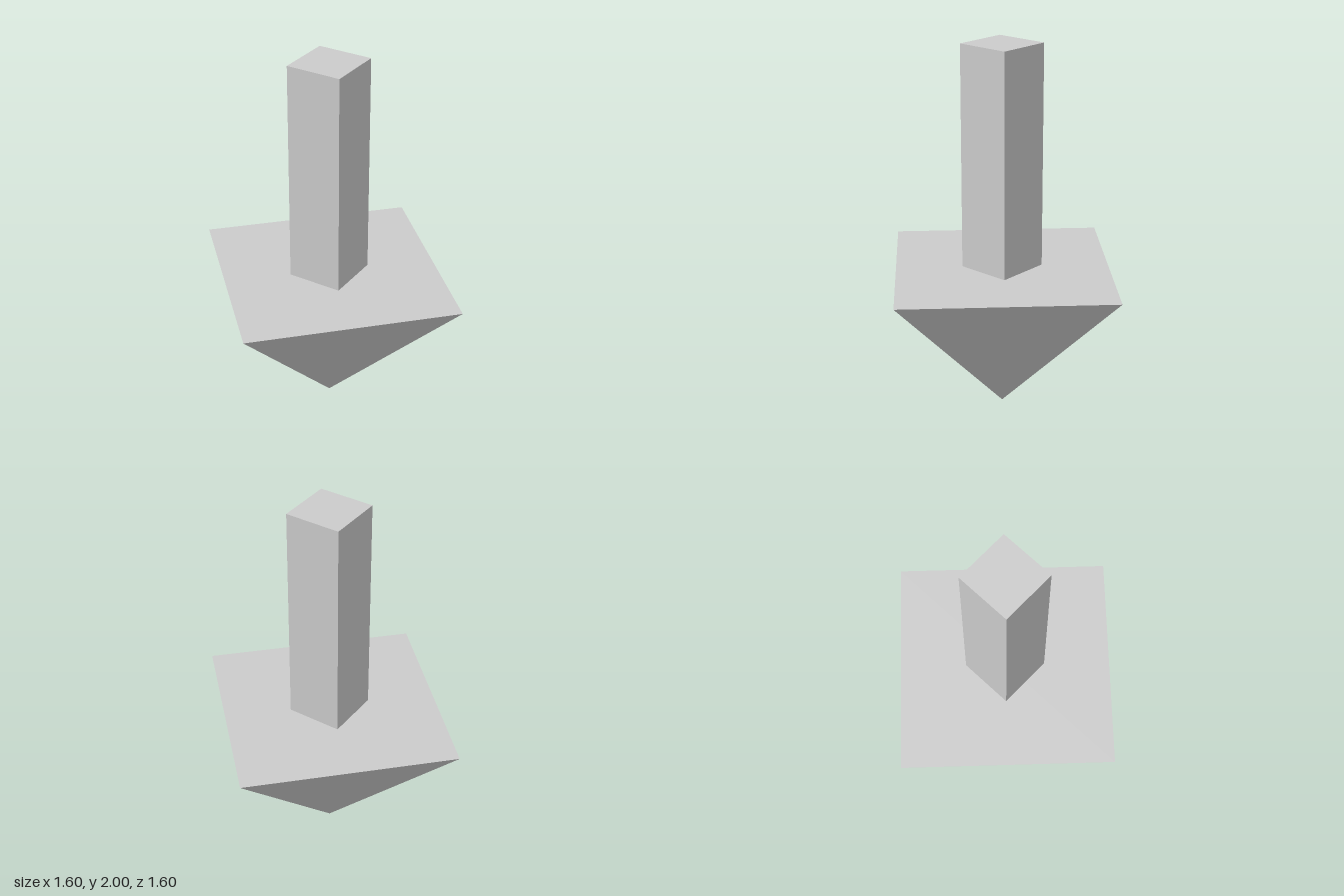
import * as THREE from 'three';

export function createModel() {
  const group = new THREE.Group();
  group.name = 'downArrow';
  const material = new THREE.MeshStandardMaterial({ color: 0xcccccc, flatShading: true });

  const addPart = (name, geometry, y) => {
    const mesh = new THREE.Mesh(geometry, material);
    mesh.name = name;
    mesh.position.y = y;
    group.add(mesh);
  };

  // Four-sided arrowhead, point down, corners on the x and z axes
  addPart('arrowHead', new THREE.ConeGeometry(0.8, 0.8, 4).rotateX(Math.PI), 0.4);

  // Square shaft standing on the flat top of the head
  addPart('shaft', new THREE.BoxGeometry(0.3, 1.2, 0.3), 1.4);

  return group;
}
